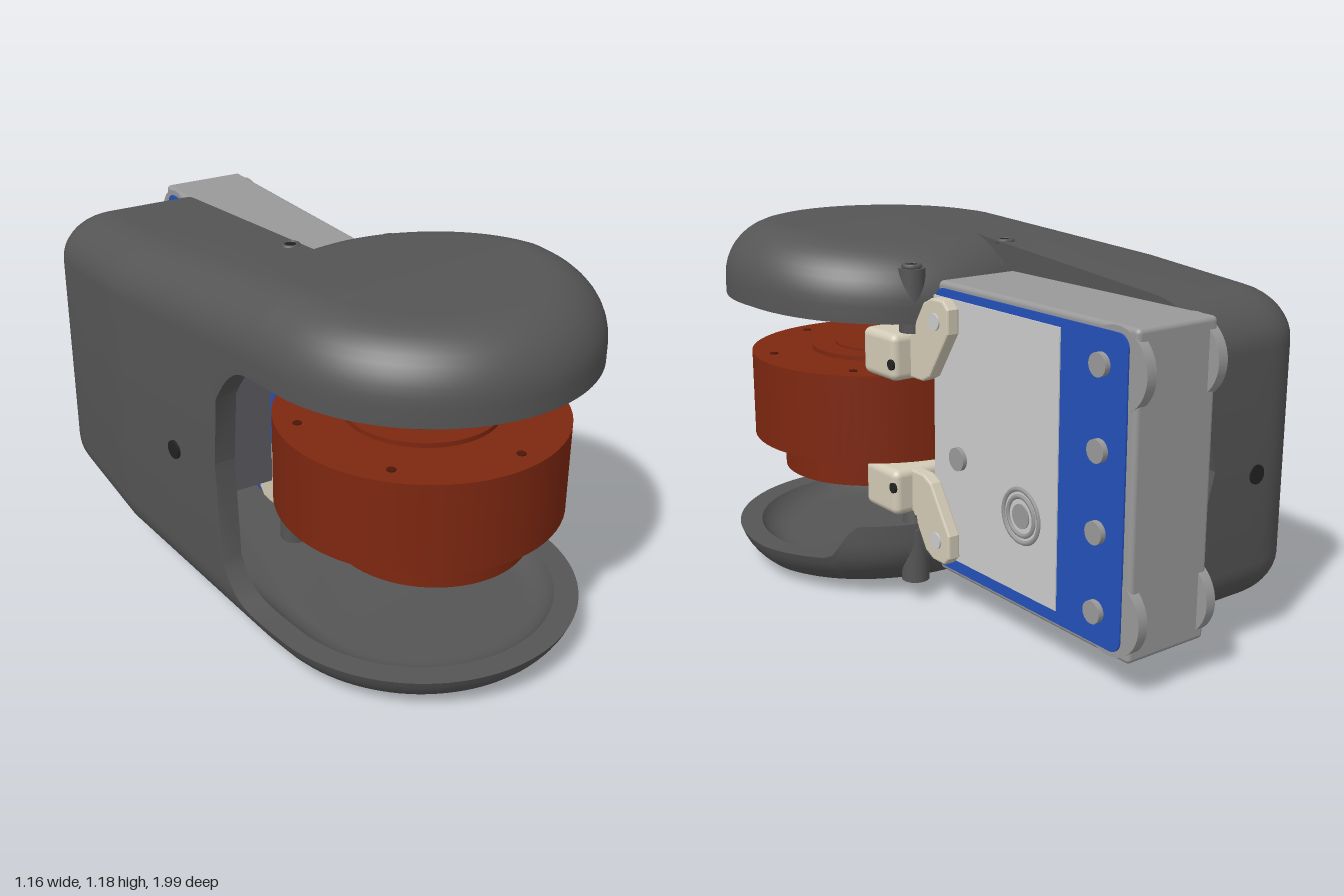
import * as THREE from 'three';
import { toCreasedNormals } from 'three/addons/utils/BufferGeometryUtils.js';
import { RoundedBoxGeometry } from 'three/addons/geometries/RoundedBoxGeometry.js';

const mat = (color, side = THREE.FrontSide) => new THREE.MeshStandardMaterial({ color, side });
const M = {
  shell: mat(0x555555, THREE.DoubleSide), dark: mat(0x222222), steel: mat(0x999999), plate: mat(0xbcbcbc),
  blue: mat(0x2450b8), cream: mat(0xd2cab6), red: mat(0x7d2710), redDark: mat(0x4a1608), panel: mat(0x5a5a60),
};

// Plan of the shell: a round front with a tail on the -x side, inset by d
const CX = 0.05, CZ = 0.46, RAD = 0.53, H = 0.5925, R = 0.18, WALL = 0.07;
const ARC = 84, LINE = 44;
function outline(d) {
  const p = [], r = RAD - d;
  const a0 = -Math.PI / 2 - Math.asin(0.15 / r), a1 = Math.PI - 0.127;
  const line = (x, z, n) => {
    const [sx, sz] = p[p.length - 1];
    for (let i = 1; i <= n; i++) p.push([sx + (x - sx) * i / n, sz + (z - sz) * i / n]);
  };
  for (let i = 0; i <= ARC; i++) {
    const a = a0 + (a1 - a0) * i / ARC;
    p.push([CX + r * Math.cos(a), CZ + r * Math.sin(a)]);
  }
  line(-0.585 + d, -0.32, LINE);
  line(-0.585 + d, -0.715, 4);
  for (let i = 1; i <= 10; i++) {
    const a = Math.PI + i / 10 * Math.PI / 2;
    p.push([-0.395 + (0.19 - d) * Math.cos(a), -0.715 + (0.19 - d) * Math.sin(a)]);
  }
  line(-0.1, -0.905 + d, 4);
  line(p[0][0], p[0][1], 8);
  p.pop();
  return p;
}

// Height of the rim along the outline: low at the front, full height along the tail wall
function rimHeight(i, n, [x, z], front, back) {
  if (i <= ARC) {
    const a = Math.atan2(z - CZ, x - CX);
    const rear = a < 0 && a > -2.2 ? THREE.MathUtils.smoothstep(-a, 0.6, 0.82) : 0;
    return front + (back - front) * rear;
  }
  if (i > n - 9) return back;
  if (z > 0.38) return front;
  if (z > 0.23) return front + 0.14 * ((0.38 - z) / 0.15) ** 2;
  return H;
}

// One half of the hollow shell: rounded outside, rim, rounded inside
function shellHalf(front, back, flip) {
  const base = outline(0), n = base.length, K = 10, rings = [];
  const rims = base.map((p, i) => rimHeight(i, n, p, front, back));
  const addRing = (inset, end, f) => {
    rings.push(base.map((_, i) => {
      const r = R - inset, max = Math.acos(Math.max(0, 1 - (rims[i] - inset) / r));
      const th = max * f;
      const [x, z] = outline(inset + r * (1 - Math.sin(th)))[i];
      let y = end ? rims[i] : inset + r * (1 - Math.cos(th));
      y += 0.09 * Math.max(0, 0.42 - z) * (1 - y / H);
      return [x, flip ? 2 * H - y : y, z];
    }));
  };
  for (let k = 0; k <= K; k++) addRing(0, false, k / K);
  addRing(0, true, 1);
  addRing(WALL, true, 1);
  for (let k = K; k >= 0; k--) addRing(WALL, false, k / K);
  const idx = [];
  const tri = (a, b, c) => (flip ? idx.push(a, c, b) : idx.push(a, b, c));
  for (let k = 0; k < rings.length - 1; k++)
    for (let i = 0; i < n; i++) {
      const j = (i + 1) % n, a = k * n + i, b = k * n + j, c = a + n, e = b + n;
      tri(a, c, b); tri(b, c, e);
    }
  // flat outer and inner faces, split where the tail starts to taper
  const split = Math.round(ARC * 0.38), ids = [...Array(n).keys()];
  const parts = [ids.slice(split, ARC + 1), [...ids.slice(ARC), ...ids.slice(0, split + 1)]];
  for (const [k, inner] of [[0, false], [rings.length - 1, true]])
    for (const part of parts) {
      const flat = part.map(i => new THREE.Vector2(rings[k][i][0], rings[k][i][2]));
      for (const t of THREE.ShapeUtils.triangulateShape(flat, [])) {
        let [a, b, c] = t.map(q => k * n + part[q]);
        const [A, B, C] = t.map(q => flat[q]);
        const cw = (B.x - A.x) * (C.y - A.y) - (B.y - A.y) * (C.x - A.x) < 0;
        if (cw !== inner) [b, c] = [c, b];
        tri(a, b, c);
      }
    }
  const g = new THREE.BufferGeometry();
  g.setAttribute('position', new THREE.Float32BufferAttribute(rings.flat(2), 3));
  g.setIndex(idx);
  return toCreasedNormals(g, 0.6);
}

// Plate drawn in the (z, y) plane, extruded along x from x0 to x1
function sidePlate(shape, x0, x1, bevel = 0) {
  const g = new THREE.ExtrudeGeometry(shape, {
    depth: x1 - x0 - 2 * bevel, bevelEnabled: bevel > 0, bevelSize: bevel, bevelThickness: bevel,
    bevelOffset: -bevel, bevelSegments: 2, curveSegments: 8,
  });
  return g.rotateY(-Math.PI / 2).translate(x1 - bevel, 0, 0);
}
function roundRect(z0, z1, y0, y1, r) {
  const s = new THREE.Shape();
  s.absarc(z1 - r, y1 - r, r, 0, Math.PI / 2);
  s.absarc(z0 + r, y1 - r, r, Math.PI / 2, Math.PI);
  s.absarc(z0 + r, y0 + r, r, Math.PI, Math.PI * 1.5);
  s.absarc(z1 - r, y0 + r, r, Math.PI * 1.5, Math.PI * 2);
  return s;
}

export function createModel() {
  const model = new THREE.Group();
  const add = (name, geo, m, x = 0, y = 0, z = 0) => {
    const o = new THREE.Mesh(geo, m);
    o.name = name;
    o.position.set(x, y, z);
    model.add(o);
    return o;
  };
  const cyl = (r, h, n = 32, r2 = r) => new THREE.CylinderGeometry(r, r2, h, n);
  const cylX = (r, h, n = 32) => cyl(r, h, n).rotateZ(Math.PI / 2);

  // Housing
  add('lowerShell', shellHalf(0.125, 0.245, false), M.shell);
  add('upperShell', shellHalf(0.235, 0.235, true), M.shell);
  add('innerPanel', new THREE.BoxGeometry(0.34, 0.66, 0.72), M.panel, -0.32, 0.6, -0.46);
  add('wallHole', cylX(0.03, 0.012, 20), M.dark, -0.546, 0.55, 0).rotation.y = 0.127;
  add('rearHole', cyl(0.03, 0.012, 20).rotateX(Math.PI / 2), M.dark, -0.35, 0.55, -0.903);

  // Posts with screw recesses
  for (const x of [-0.13, 0.235]) {
    add('lowerPost', cyl(0.045, 0.18), M.shell, x, 0.155, 0.01);
    add('lowerPostTip', cyl(0.036, 0.05, 32, 0.045), M.shell, x, 0.27, 0.01);
    add('upperPost', cyl(0.042, 0.2), M.shell, x, 0.995, 0.01);
    const top = x < 0 ? 1.145 : 1.1;
    for (const y of [top, 2 * H - top]) {
      add('screwRing', new THREE.TorusGeometry(0.024, 0.009, 8, 24).rotateX(Math.PI / 2), M.shell, x, y, 0.01);
      add('screwHead', cyl(0.02, 0.012, 20), M.dark, x, y, 0.01);
    }
  }

  // Drum
  add('drum', cyl(0.447, 0.29, 72), M.red, 0.052, 0.595, 0.47);
  add('drumBase', cyl(0.31, 0.13, 64), M.red, 0.075, 0.388, 0.5);
  add('drumRing', cyl(0.24, 0.016, 64), M.red, 0.052, 0.747, 0.47);
  add('drumHub', cyl(0.16, 0.012, 64), M.red, 0.052, 0.756, 0.47);
  for (let i = 0; i < 6; i++) {
    const a = i * Math.PI / 3 + 0.3;
    add('drumScrew', cyl(0.014, 0.004, 16), M.redDark, 0.052 + 0.38 * Math.cos(a), 0.741, 0.47 + 0.38 * Math.sin(a));
  }

  // Motor block with a board on either side
  add('motorBlock', new RoundedBoxGeometry(0.296, 0.945, 0.885, 3, 0.015), M.steel, 0.05, 0.5925, -0.518);
  const board = roundRect(-0.93, -0.07, 0.14, 1.045, 0.04);
  add('rightBoard', sidePlate(board, 0.18, 0.204), M.blue);
  add('leftBoard', sidePlate(board, -0.106, -0.08), M.blue);
  add('coverPlate', new THREE.BoxGeometry(0.02, 0.84, 0.595), M.plate, 0.198, 0.6, -0.365);
  for (const y of [0.24, 0.475, 0.71, 0.95]) add('boardScrew', cylX(0.034, 0.03, 24), M.steel, 0.207, y, -0.83);
  add('coverPin', cylX(0.037, 0.03, 24), M.steel, 0.208, 0.525, -0.2);
  add('dial', cylX(0.038, 0.012, 24), M.steel, 0.206, 0.425, -0.503);
  for (const r of [0.06, 0.082])
    add('dialRing', new THREE.TorusGeometry(r, 0.008, 6, 48).rotateY(Math.PI / 2), M.steel, 0.207, 0.425, -0.503);
  for (const x of [-0.082, 0.182])
    for (const y of [0.242, 0.943]) add('cornerFoot', cylX(0.12, 0.034, 40), M.steel, x, y, -0.878);

  // Bracket arm, drawn for the upper bracket and mirrored for the lower one
  const armPoints = [[0.12, 0.75], [0.12, 0.89], [0, 0.89], [-0.07, 1.0], [-0.11, 1.02], [-0.17, 1.02],
    [-0.197, 0.995], [-0.197, 0.92], [-0.1, 0.77], [-0.06, 0.75]];
  for (const upper of [true, false]) {
    const pts = armPoints.map(([z, y]) => new THREE.Vector2(z, upper ? y : 2 * H - y + 0.008));
    if (!upper) pts.reverse();
    const arm = new THREE.Shape(pts), yc = upper ? 0.817 : 0.372, pivot = upper ? 0.95 : 0.243;
    add('bracketBlock', new RoundedBoxGeometry(0.525, 0.152, 0.18, 4, 0.025), M.cream, 0.0525, yc, 0.09);
    add('rightBracketArm', sidePlate(arm, 0.206, 0.25, 0.006), M.cream);
    add('leftBracketArm', sidePlate(arm, -0.146, -0.102, 0.006), M.cream);
    add('pivotPin', cylX(0.027, 0.012, 24), M.plate, 0.25, pivot, -0.13);
    add('bracketScrew', cylX(0.017, 0.008, 20), M.dark, 0.314, upper ? 0.797 : 0.392, 0.015);
  }
  return model;
}
